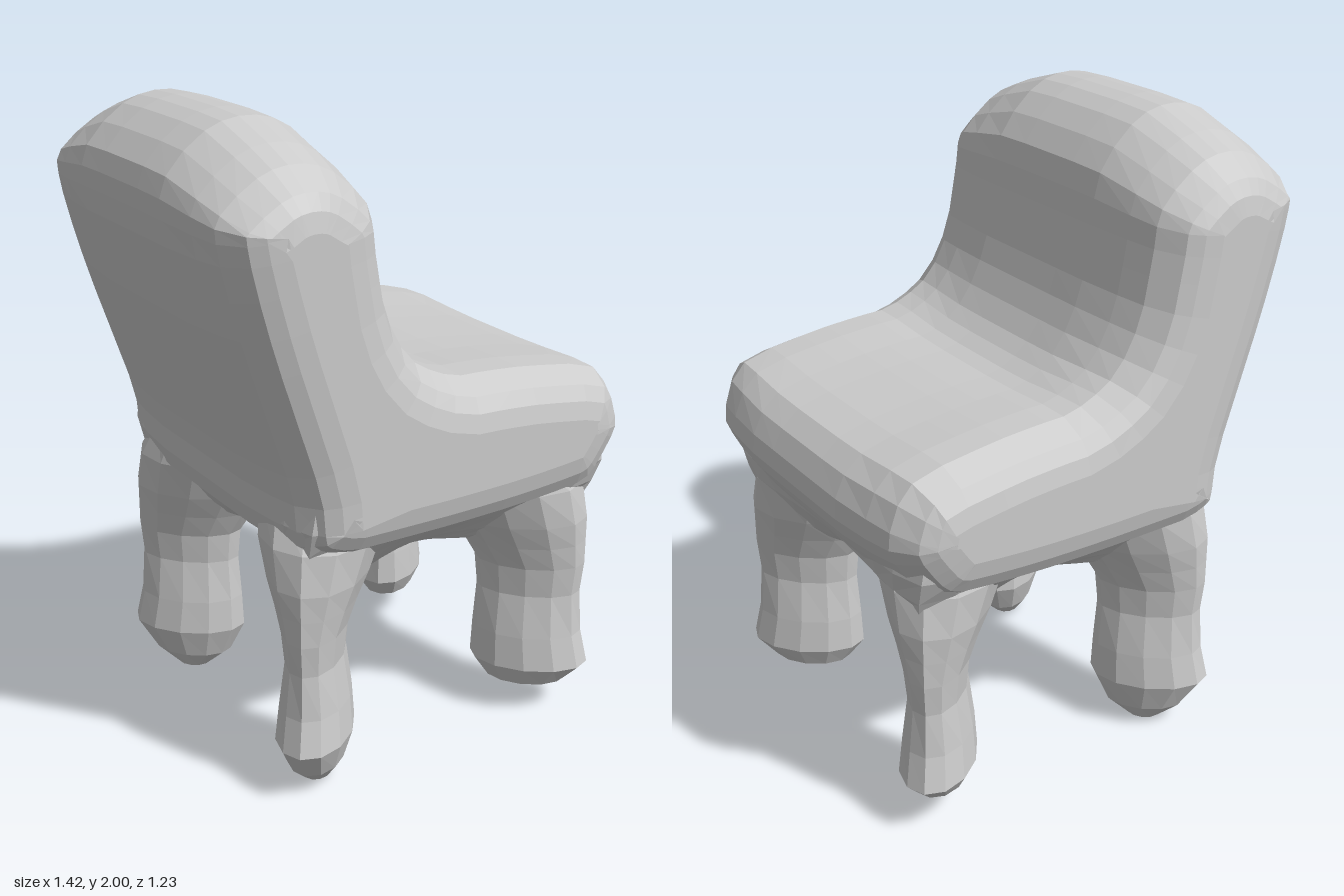
import * as THREE from 'three';

const material = new THREE.MeshStandardMaterial({ color: 0xcccccc, flatShading: true, side: THREE.DoubleSide });
const { smoothstep } = THREE.MathUtils;

// Joins equal rings of points into a surface; caps are extra triangles
function loft(positions, rings, n, caps = []) {
  const index = [...caps];
  for (let i = 0; i < rings - 1; i++) {
    for (let j = 0; j < n; j++) {
      const a = i * n + j, b = i * n + (j + 1) % n;
      index.push(a, b, b + n, a, b + n, a + n);
    }
  }
  const geometry = new THREE.BufferGeometry();
  geometry.setAttribute('position', new THREE.Float32BufferAttribute(positions, 3));
  geometry.setIndex(index);
  geometry.computeVertexNormals();
  return geometry;
}

// Side outline of seat and backrest (x, y), counter-clockwise from below
const outline = [
  [0.1, 0.74], [0.35, 0.75], [0.56, 0.78], [0.65, 0.87], [0.71, 1.0], [0.64, 1.14],
  [0.4, 1.2], [0.2, 1.22], [0.07, 1.23], [-0.04, 1.3], [-0.13, 1.46], [-0.17, 1.65],
  [-0.2, 1.83], [-0.33, 1.97], [-0.45, 2.0], [-0.57, 1.97], [-0.7, 1.84], [-0.7, 1.7],
  [-0.64, 1.45], [-0.56, 1.2], [-0.49, 0.98], [-0.46, 0.81], [-0.35, 0.75], [-0.15, 0.74],
];

// Half of the width: [z, inset of the outline]; mirrored for the other half
const stations = [[0.12, 0], [0.25, 0], [0.4, 0.012], [0.5, 0.028], [0.58, 0.075], [0.605, 0.12], [0.617, 0.175]];

// Seat and backrest: the outline lofted across z, shrinking at the rounded sides
function createBody() {
  const curve = new THREE.CatmullRomCurve3(outline.map(([x, y]) => new THREE.Vector3(x, y, 0)), true);
  const n = 56;
  const points = [], tangents = [];
  for (let j = 0; j < n; j++) {
    points.push(curve.getPoint(j / n));
    tangents.push(curve.getTangent(j / n));
  }
  const rows = [...stations.map(([z, inset]) => [-z, inset]).reverse(), ...stations];
  const positions = [];
  for (const [z, inset] of rows) {
    const out = smoothstep(Math.abs(z), 0.18, 0.6);
    points.forEach((p, j) => {
      // the crest slopes down towards both sides, the seat rises a little
      const drop = 0.075 * out * smoothstep(p.y, 1.6, 2);
      const rise = 0.045 * out * smoothstep(p.y, 1.0, 1.18) * smoothstep(p.x, -0.15, 0.05);
      positions.push(p.x - tangents[j].y * inset, p.y + tangents[j].x * inset - drop + rise, z);
    });
  }
  // flat side caps
  const last = (rows.length - 1) * n;
  const rim = points.map((p, j) => new THREE.Vector2(positions[(last + j) * 3], positions[(last + j) * 3 + 1]));
  const caps = THREE.ShapeUtils.triangulateShape(rim, [])
    .flatMap(([a, b, c]) => [last + a, last + b, last + c, c, b, a]);
  return loft(positions, rows.length, n, caps);
}

// Underframe sections, bottom up: [height, half x, half z, pinch of the sides]
const frameRows = [
  [0.6, 0, 0, 0], [0.602, 0.43, 0.42, 0.45], [0.625, 0.47, 0.455, 0.36], [0.67, 0.505, 0.49, 0.26],
  [0.73, 0.53, 0.525, 0.17], [0.8, 0.55, 0.56, 0.08], [0.88, 0.56, 0.593, 0.02], [1.0, 0.54, 0.6, 0],
];

// Underframe: rounded squares whose sides arch inward between the legs
function createUnderframe() {
  const n = 48, positions = [];
  for (const [y, halfX, halfZ, pinch] of frameRows) {
    for (let j = 0; j < n; j++) {
      const a = -j / n * Math.PI * 2, c = Math.cos(a), s = Math.sin(a);
      const square = (Math.abs(c) ** 10 + Math.abs(s) ** 10) ** (-1 / 10);
      const r = square * (1 - pinch * Math.abs(Math.cos(2 * a)) ** 0.8);
      positions.push(0.09 + halfX * r * c, y, halfZ * r * s);
    }
  }
  return loft(positions, frameRows.length, n);
}

// Leg sections: [height, half length outward, half thickness, outward shift]
const legRows = [
  [0, 0, 0, 0], [0.005, 0.055, 0.045, 0], [0.07, 0.13, 0.085, 0], [0.17, 0.19, 0.115, 0.01],
  [0.28, 0.175, 0.105, 0], [0.42, 0.165, 0.085, 0], [0.52, 0.175, 0.095, 0],
  [0.6, 0.2, 0.12, -0.025], [0.68, 0.225, 0.15, -0.05], [0.8, 0.235, 0.185, -0.08], [0.92, 0.2, 0.19, -0.11],
];

// Fin-like leg: a lathe flattened row by row, flaring into the underframe
function createLeg(base) {
  const profile = legRows.map(([y, r], i) => new THREE.Vector2(r, Math.max(base + 0.01 * i, y)));
  const geometry = new THREE.LatheGeometry(profile, 12);
  const pos = geometry.attributes.position;
  for (let i = 0; i < pos.count; i++) {
    const [, length, thickness, shift] = legRows[i % legRows.length];
    pos.setX(i, pos.getX(i) + shift);
    if (length > 0) pos.setZ(i, pos.getZ(i) * thickness / length);
  }
  geometry.computeVertexNormals();
  return geometry;
}

export function createModel() {
  const group = new THREE.Group();
  group.name = 'chair';

  const add = (name, geometry) => {
    const mesh = new THREE.Mesh(geometry, material);
    mesh.name = name;
    group.add(mesh);
    return mesh;
  };

  add('seatAndBackrest', createBody());
  add('underframe', createUnderframe());

  // four legs, each turned to point out of its corner
  for (const [name, x, base] of [['frontLeg', 0.47, 0.085], ['backLeg', -0.33, 0]]) {
    const geometry = createLeg(base);
    for (const side of [1, -1]) {
      const leg = add(name + (side > 0 ? 'A' : 'B'), geometry);
      leg.position.set(x, 0, 0.4 * side);
      leg.rotation.y = -Math.atan2(side, Math.sign(x));
    }
  }
  return group;
}
